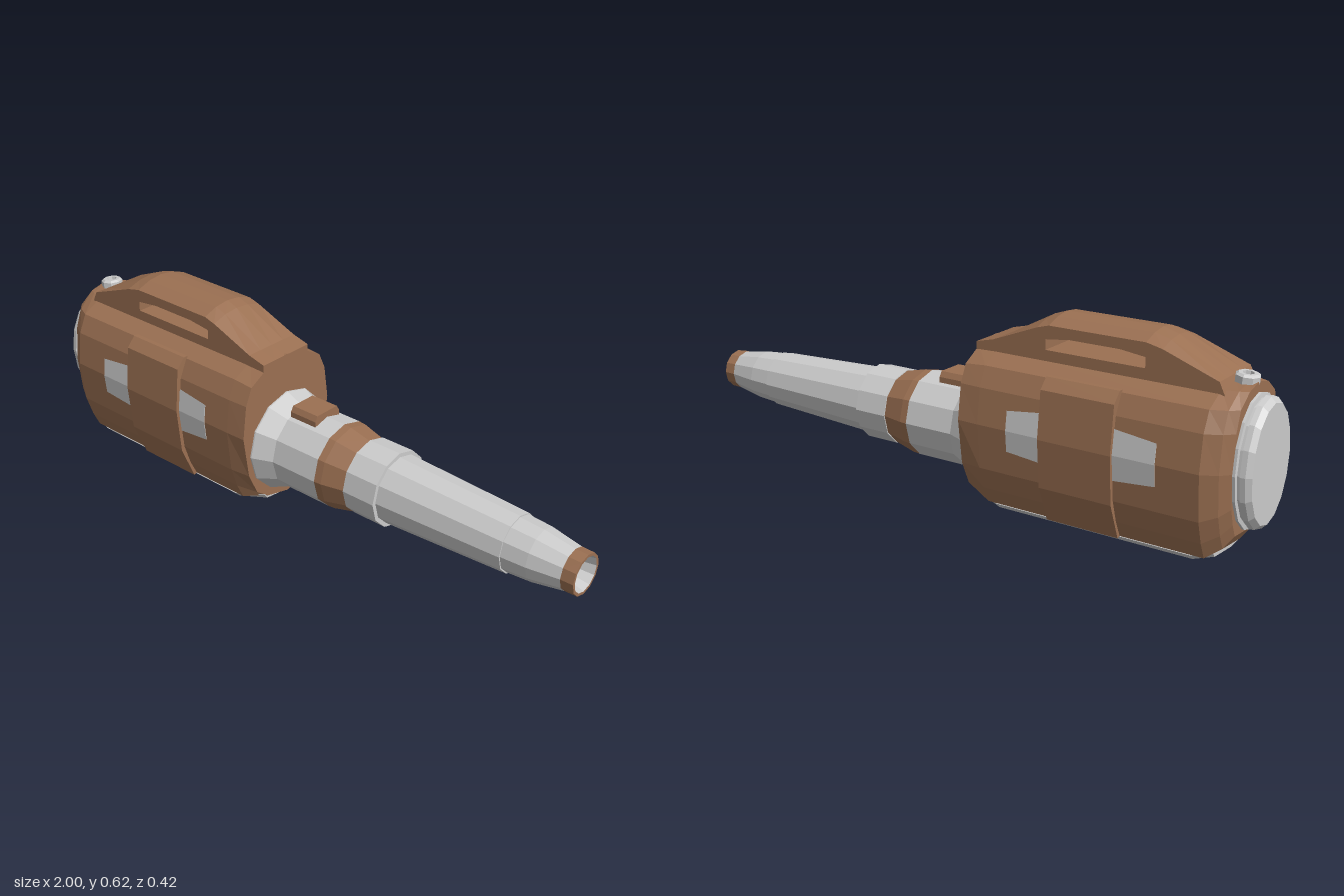
import * as THREE from 'three';

const material = (color) => new THREE.MeshStandardMaterial({ color, flatShading: true });
const brown = material(0x9b7052);
const grey = material(0xcccccc);
const dark = material(0x2a2422);

function add(group, name, geometry, mat) {
  const mesh = new THREE.Mesh(geometry, mat);
  mesh.name = name;
  group.add(mesh);
  return mesh;
}

// Closed loft along +x; each section is { x, ring: [[z, y], ...] }, ring counter-clockwise seen from +x
function loft(sections) {
  const n = sections[0].ring.length;
  const pos = [];
  const index = [];
  for (const { x, ring } of sections) for (const [z, y] of ring) pos.push(x, y, z);
  for (let i = 0; i < sections.length - 1; i++) {
    for (let j = 0; j < n; j++) {
      const a = i * n + j, b = i * n + (j + 1) % n;
      index.push(a, b, b + n, a, b + n, a + n);
    }
  }
  [0, sections.length - 1].forEach((s) => {
    const { x, ring } = sections[s];
    const centre = pos.length / 3;
    pos.push(x, ring.reduce((t, p) => t + p[1], 0) / n, ring.reduce((t, p) => t + p[0], 0) / n);
    for (let j = 0; j < n; j++) {
      const a = s * n + j, b = s * n + (j + 1) % n;
      index.push(centre, ...(s ? [a, b] : [b, a]));
    }
  });
  const geometry = new THREE.BufferGeometry();
  geometry.setAttribute('position', new THREE.Float32BufferAttribute(pos, 3));
  geometry.setIndex(index);
  geometry.computeVertexNormals();
  return geometry;
}

const mirrorZ = (ring) => ring.map(([z, y]) => [-z, y]).reverse();
// Complete a half outline that starts at the top centre and ends at the bottom centre
const fullRing = (half) => [...half, ...mirrorZ(half.slice(1, -1))];

// Turned part along the x axis; points are [x, radius]
function turned(points, segments) {
  const geometry = new THREE.LatheGeometry(points.map(([x, r]) => new THREE.Vector2(r, x)), segments);
  return geometry.rotateZ(-Math.PI / 2);
}

const bodyHalf = [[0, 0.512], [0.085, 0.497], [0.155, 0.46], [0.183, 0.4], [0.197, 0.29],
  [0.183, 0.15], [0.16, 0.08], [0.135, 0.028], [0, 0.015]];
const frontHalf = [[0, 0.512], [0.085, 0.495], [0.155, 0.455], [0.18, 0.4], [0.195, 0.29],
  [0.175, 0.15], [0.14, 0.075], [0.09, 0.039], [0, 0.018]];

// Width of the body at height y
function bodyZ(y) {
  const k = bodyHalf.findIndex((p) => p[1] <= y);
  const [z0, y0] = bodyHalf[k - 1], [z1, y1] = bodyHalf[k];
  return z0 + (z1 - z0) * (y - y0) / (y1 - y0);
}

export function createModel() {
  const model = new THREE.Group();
  model.name = 'tool';

  // Housing, pulled in at the back
  const rear = (x, sz, sy) => ({
    x,
    ring: fullRing(bodyHalf.map(([z, y]) => [z * sz, y < 0.285 ? 0.285 - (0.285 - y) * sy : y])),
  });
  add(model, 'housing', loft([
    rear(-0.95, 0.73, 0.73), rear(-0.925, 0.87, 0.87), rear(-0.88, 1, 1), rear(-0.17, 1, 1),
    { x: -0.1, ring: fullRing(frontHalf) },
  ]), brown);

  // Grey sole under the housing
  const sole = (x, w, lift) => ({
    x,
    ring: fullRing([[0, 0.05], [0.137 * w, 0.027 + lift], [0.12 * w, 0.01 + lift], [0, lift]]),
  });
  add(model, 'sole', loft([
    sole(-0.9, 0.9, 0.018), sole(-0.84, 1, 0), sole(-0.2, 1, 0), sole(-0.105, 0.75, 0.018),
  ]), grey);

  // Carry handle: side outline with grip opening, crowned across its width
  const outline = new THREE.Shape([[-0.9, 0.48], [-0.1, 0.48], [-0.1, 0.51], [-0.16, 0.525],
    [-0.31, 0.605], [-0.35, 0.619], [-0.66, 0.619], [-0.71, 0.605], [-0.88, 0.522],
  ].map(([x, y]) => new THREE.Vector2(x, y)));
  outline.holes.push(new THREE.Path([[-0.66, 0.522], [-0.66, 0.567], [-0.58, 0.579], [-0.42, 0.579],
    [-0.34, 0.567], [-0.34, 0.522]].map(([x, y]) => new THREE.Vector2(x, y))));
  const handle = new THREE.ExtrudeGeometry(outline, { depth: 0.2, steps: 4, bevelEnabled: false });
  handle.translate(0, 0, -0.1);
  const p = handle.attributes.position;
  for (let i = 0; i < p.count; i++) {
    const y = p.getY(i);
    if (y > 0.53) p.setY(i, y - 0.024 * (p.getZ(i) / 0.1) ** 2 * (y - 0.5) / 0.12);
  }
  handle.computeVertexNormals();
  add(model, 'handle', handle, brown);

  // Side bands and windows on both flanks
  const band = [[0.15, 0.467], [0.165, 0.467], [0.195, 0.435], [0.209, 0.29], [0.195, 0.14],
    [0.165, 0.068], [0.147, 0.025], [0.12, 0.03]];
  const pane = (top, bottom) => [[bodyZ(top) + 0.002, top], [0.199, 0.29],
    [bodyZ(bottom) + 0.002, bottom], [0.15, 0.29]];
  const wide = pane(0.365, 0.213), narrow = pane(0.35, 0.225);
  for (const [side, flip] of [['left', (r) => r], ['right', mirrorZ]]) {
    // +z and -z flanks
    const flank = new THREE.Group();
    flank.name = side === 'left' ? 'frontFlank' : 'backFlank';
    model.add(flank);
    add(flank, 'sideBand', loft([-0.62, -0.385].map((x) => ({ x, ring: flip(band) }))), brown);
    add(flank, 'rearWindow', loft([{ x: -0.75, ring: flip(narrow) }, { x: -0.615, ring: flip(wide) }]), grey);
    add(flank, 'foreWindow', loft([{ x: -0.39, ring: flip(wide) }, { x: -0.27, ring: flip(narrow) }]), grey);
  }

  // Oval end cap
  const cap = add(model, 'endCap', turned([[-1, 0], [-1, 0.175], [-0.985, 0.19], [-0.97, 0.192],
    [-0.968, 0.183], [-0.96, 0.183], [-0.958, 0.197], [-0.94, 0.197]], 16), grey);
  cap.position.y = 0.285;
  cap.scale.z = 0.73;

  // Stepped barrel
  const barrel = new THREE.Group();
  barrel.name = 'barrel';
  barrel.position.y = 0.215;
  model.add(barrel);
  add(barrel, 'collar', turned([[-0.12, 0.168], [-0.095, 0.168], [-0.03, 0.14], [0.14, 0.14]], 12), grey);
  add(barrel, 'ring', turned([[0.14, 0.14], [0.165, 0.138], [0.24, 0.12]], 12), brown);
  add(barrel, 'tube', turned([[0.24, 0.12], [0.24, 0.123], [0.355, 0.123], [0.355, 0.11], [0.78, 0.092],
    [0.78, 0.088], [0.86, 0.083], [0.96, 0.066]], 12), grey);
  add(barrel, 'muzzleRing', turned([[0.96, 0.066], [1, 0.065], [1, 0.056]], 12), brown);
  add(barrel, 'muzzleBore', turned([[1, 0.056], [0.94, 0.042], [0.94, 0]], 12), grey);

  // Switch on top of the barrel
  const button = (x, w) => ({ x, ring: [[0.045 * w, 0.375], [0.055 * w, 0.358], [0.055 * w, 0.31],
    [-0.055 * w, 0.31], [-0.055 * w, 0.358], [-0.045 * w, 0.375]] });
  add(model, 'switch', loft([button(-0.03, 1), button(0.07, 1)]), brown);

  // Strap eyelet at the top rear
  const eyelet = new THREE.Group();
  eyelet.name = 'eyelet';
  eyelet.position.set(-0.915, 0.505, 0);
  eyelet.rotation.z = 0.08;
  model.add(eyelet);
  const washer = [[0.036, 0], [0.036, 0.02], [0.028, 0.026], [0.017, 0.026], [0.015, 0.01]];
  add(eyelet, 'washer', new THREE.LatheGeometry(washer.map(([r, y]) => new THREE.Vector2(r, y)), 8), grey);
  add(eyelet, 'eyeletHole', new THREE.CylinderGeometry(0.017, 0.017, 0.012, 8).translate(0, 0.008, 0), dark);

  return model;
}
